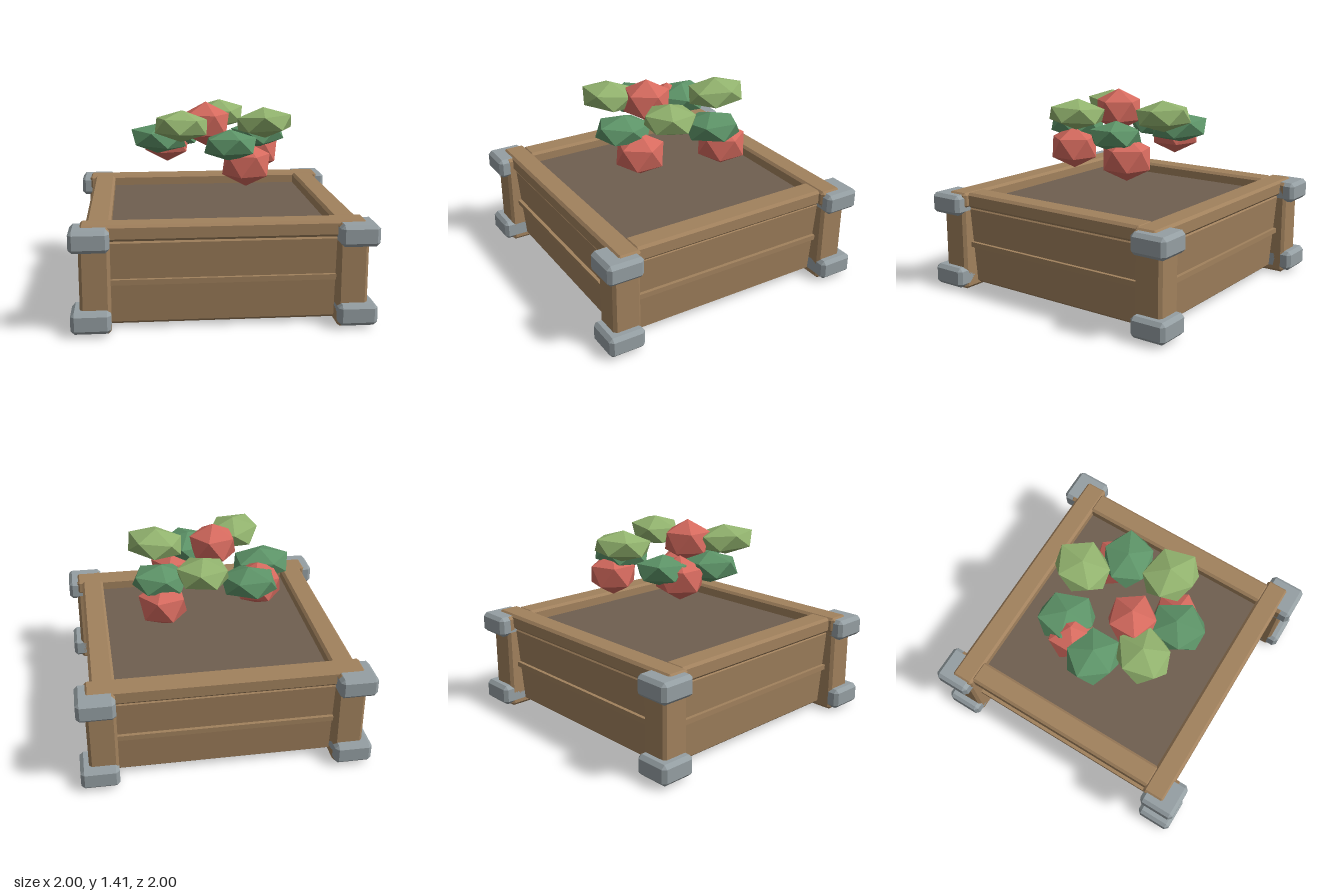
import * as THREE from 'three';
import { ConvexGeometry } from 'three/addons/geometries/ConvexGeometry.js';

const paint = (name, color) => {
  const m = new THREE.MeshStandardMaterial({ color, flatShading: true });
  m.name = name;
  return m;
};

// Box with every edge cut by a flat chamfer
function chamferBox(w, h, d, c) {
  const pts = [];
  const [x, y, z] = [w / 2, h / 2, d / 2];
  for (const sx of [-1, 1]) for (const sy of [-1, 1]) for (const sz of [-1, 1]) {
    pts.push(new THREE.Vector3(sx * x, sy * (y - c), sz * (z - c)));
    pts.push(new THREE.Vector3(sx * (x - c), sy * y, sz * (z - c)));
    pts.push(new THREE.Vector3(sx * (x - c), sy * (y - c), sz * z));
  }
  return new ConvexGeometry(pts);
}

// Icosahedron standing on a corner, one upper corner pointing along +x
function pointyBall(rx, ry, rz) {
  const g = new THREE.IcosahedronGeometry(1, 0);
  g.rotateX(-Math.atan((1 + Math.sqrt(5)) / 2));
  g.rotateY(Math.PI / 2);
  g.scale(rx, ry, rz);
  g.computeVertexNormals();
  return g;
}

export function createModel() {
  const wood = paint('wood', 0xa1815d);
  const soil = paint('soil', 0x6f5f50);
  const metal = paint('metal', 0x959fa3);
  const red = paint('flowerRed', 0xd56a5e);
  const darkGreen = paint('darkLeaf', 0x5d9468);
  const lightGreen = paint('lightLeaf', 0x92b36e);

  const model = new THREE.Group();
  const add = (parent, name, geo, mat, x, y, z) => {
    const m = new THREE.Mesh(geo, mat);
    m.name = name;
    m.position.set(x, y, z);
    parent.add(m);
    return m;
  };

  // Corner posts with a metal block near each end
  const postGeo = chamferBox(0.2, 0.7, 0.2, 0.02);
  const capGeo = chamferBox(0.26, 0.145, 0.26, 0.025);
  for (const sx of [-1, 1]) for (const sz of [-1, 1]) {
    const corner = new THREE.Group();
    corner.name = 'cornerPost';
    add(corner, 'post', postGeo, wood, sx * 0.84, 0.355, sz * 0.84);
    add(corner, 'lowerBracket', capGeo, metal, sx * 0.87, 0.098, sz * 0.87);
    add(corner, 'upperBracket', capGeo, metal, sx * 0.87, 0.634, sz * 0.87);
    model.add(corner);
  }

  // Four walls leaning out at the top, each with a thin strip along the middle
  const wallGeo = chamferBox(1.56, 0.59, 0.08, 0.022);
  const stripGeo = new THREE.BoxGeometry(1.5, 0.036, 0.06);
  for (let i = 0; i < 4; i++) {
    const wall = new THREE.Group();
    wall.name = 'wall';
    wall.rotation.y = i * Math.PI / 2;
    add(wall, 'wallPanel', wallGeo, wood, 0, 0.325, 0.81).rotation.x = 0.09;
    add(wall, 'wallStrip', stripGeo, wood, 0, 0.332, 0.847);
    model.add(wall);
  }

  // Rim: long rails front and back, short rails between them
  const longRail = chamferBox(1.87, 0.11, 0.165, 0.018);
  const shortRail = chamferBox(0.165, 0.11, 1.5, 0.018);
  for (const s of [-1, 1]) {
    add(model, 'longRail', longRail, wood, 0, 0.663, s * 0.811);
    add(model, 'sideRail', shortRail, wood, s * 0.814, 0.662, 0);
  }

  // Floor and soil
  add(model, 'floor', new THREE.BoxGeometry(1.6, 0.03, 1.6), wood, 0, 0.05, 0);
  add(model, 'soil', new THREE.BoxGeometry(1.5, 0.04, 1.5), soil, 0, 0.62, 0);

  // Ring of seven leaf clumps, alternating low dark and high light
  const leafGeo = pointyBall(0.226, 0.11, 0.2);
  for (let i = 0; i < 7; i++) {
    const a = Math.PI - i * Math.PI * 2 / 7;
    const dark = i % 2 === 0;
    const leaf = add(model, 'leafClump', leafGeo, dark ? darkGreen : lightGreen,
      Math.cos(a) * 0.393, dark ? 1.138 : 1.265, Math.sin(a) * 0.393);
    leaf.rotation.set(0, -a, 0.08);
  }

  // Red blossoms
  const bloomGeo = pointyBall(0.187, 0.157, 0.187);
  const blooms = [[-0.06, 1.255, 0.11], [0.205, 0.995, 0.32], [0.35, 0.995, -0.26], [-0.322, 1.085, -0.22]];
  for (const [x, y, z] of blooms) add(model, 'blossom', bloomGeo, red, x, y, z);

  return model;
}
